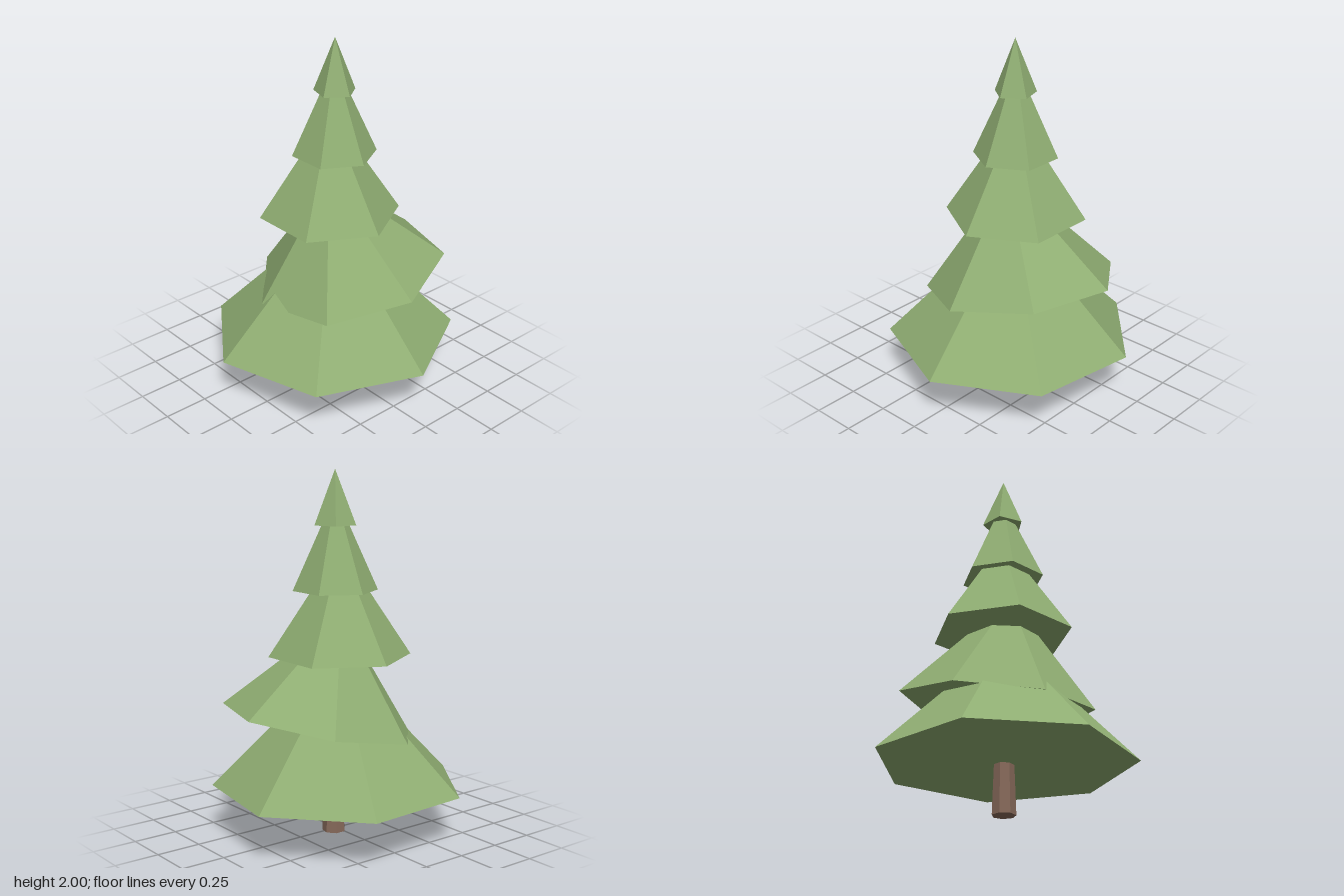
import * as THREE from 'three';

const leafMaterial = new THREE.MeshStandardMaterial({ color: 0x8fad72, flatShading: true });
const barkMaterial = new THREE.MeshStandardMaterial({ color: 0x86695a, flatShading: true });

// Foliage tiers, bottom to top: rim centre, rim radius, sides, twist in degrees,
// apex, and the slope of the rim along x and z
const tiers = [
  { name: 'bottomFoliage', rim: [0.006, 0.27, -0.028], radius: 0.70, sides: 7, twist: 3.5, apex: [0.006, 0.98, -0.028] },
  { name: 'tiltedFoliage', rim: [0.11, 0.637, 0.004], radius: 0.535, sides: 7, twist: -3.4, apex: [-0.02, 1.22, -0.02], slope: [0.188, 0.048] },
  { name: 'middleFoliage', rim: [0.013, 1.0, -0.049], radius: 0.39, sides: 6, twist: 0, apex: [0.013, 1.59, -0.049] },
  { name: 'upperFoliage', rim: [0.029, 1.355, -0.03], radius: 0.232, sides: 6, twist: 0, apex: [0.029, 1.87, -0.03] },
  { name: 'topFoliage', rim: [0.029, 1.705, -0.027], radius: 0.117, sides: 5, twist: 0, apex: [0.029, 2.0, -0.027] },
];

// A closed cone whose rim may slope and whose apex may sit off centre
function makeTier({ name, rim, radius, sides, twist, apex, slope = [0, 0] }) {
  const geometry = new THREE.ConeGeometry(radius, 1, sides, 1, false, THREE.MathUtils.degToRad(twist));
  const position = geometry.attributes.position;
  for (let i = 0; i < position.count; i++) {
    if (position.getY(i) > 0) {
      position.setXYZ(i, ...apex);
    } else {
      const x = position.getX(i);
      const z = position.getZ(i);
      position.setXYZ(i, rim[0] + x, rim[1] + slope[0] * x + slope[1] * z, rim[2] + z);
    }
  }
  const flat = geometry.toNonIndexed();
  flat.computeVertexNormals();
  const mesh = new THREE.Mesh(flat, leafMaterial);
  mesh.name = name;
  return mesh;
}

export function createModel() {
  const tree = new THREE.Group();
  tree.name = 'tree';

  // Short tapered trunk, running a little way into the foliage
  const trunk = new THREE.Mesh(new THREE.CylinderGeometry(0.053, 0.065, 0.32, 7), barkMaterial);
  trunk.name = 'trunk';
  trunk.position.set(0.03, 0.16, -0.017);
  tree.add(trunk);

  // Stacked foliage
  for (const tier of tiers) tree.add(makeTier(tier));

  return tree;
}
